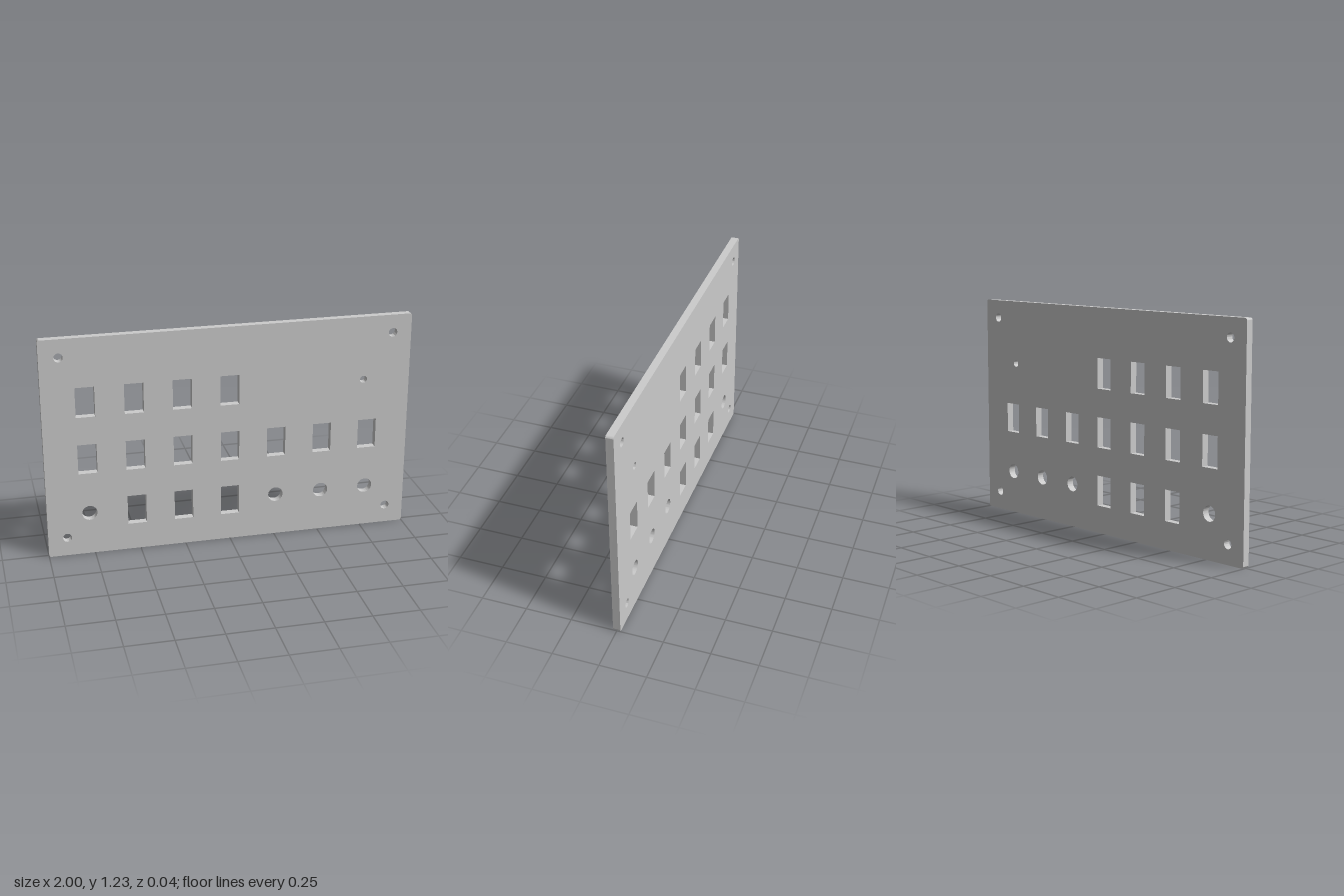
import * as THREE from 'three';
import { toCreasedNormals } from 'three/addons/utils/BufferGeometryUtils.js';

const WIDTH = 2, HEIGHT = 1.23, DEPTH = 0.04, CORNER = 0.012;
const PITCH = 0.257; // spacing between columns

function roundedOutline(w, h, r) {
  const s = new THREE.Shape(), x = w / 2;
  s.moveTo(-x + r, 0);
  s.lineTo(x - r, 0);
  s.absarc(x - r, r, r, -Math.PI / 2, 0);
  s.lineTo(x, h - r);
  s.absarc(x - r, h - r, r, 0, Math.PI / 2);
  s.lineTo(-x + r, h);
  s.absarc(-x + r, h - r, r, Math.PI / 2, Math.PI);
  s.lineTo(-x, r);
  s.absarc(-x + r, r, r, Math.PI, Math.PI * 1.5);
  return s;
}

function roundHole(x, y, r) {
  const p = new THREE.Path();
  p.absarc(x, y, r, 0, Math.PI * 2, true);
  return p;
}

function slot(x, y, w = 0.102, h = 0.166) {
  const p = new THREE.Path();
  p.moveTo(x - w / 2, y - h / 2);
  p.lineTo(x - w / 2, y + h / 2);
  p.lineTo(x + w / 2, y + h / 2);
  p.lineTo(x + w / 2, y - h / 2);
  p.closePath();
  return p;
}

export function createModel() {
  const group = new THREE.Group();
  group.name = 'switchPanel';

  const outline = roundedOutline(WIDTH, HEIGHT, CORNER);

  // Rectangular switch cutouts, by row height and column number
  const rows = [
    { y: 0.876, columns: [-3, -2, -1, 0] },
    { y: 0.555, columns: [-3, -2, -1, 0, 1, 2, 3] },
    { y: 0.234, columns: [-2, -1, 0] },
  ];
  for (const { y, columns } of rows)
    for (const c of columns) outline.holes.push(slot(c * PITCH, y));

  // Round socket cutouts in the bottom row
  for (const c of [-3, 1, 2, 3]) outline.holes.push(roundHole(c * PITCH, 0.24, 0.041));

  // Mounting holes near the corners
  for (const x of [-0.897, 0.897])
    for (const y of [0.105, 1.13]) outline.holes.push(roundHole(x, y, 0.024));

  // Small indicator hole
  outline.holes.push(roundHole(0.741, 0.875, 0.02));

  const geometry = new THREE.ExtrudeGeometry(outline, {
    depth: DEPTH, bevelEnabled: false, curveSegments: 24,
  });
  geometry.translate(0, 0, -DEPTH / 2);

  const plate = new THREE.Mesh(
    toCreasedNormals(geometry, Math.PI / 6),
    new THREE.MeshStandardMaterial({ color: 0xcccccc }),
  );
  plate.name = 'faceplate';
  group.add(plate);
  return group;
}
